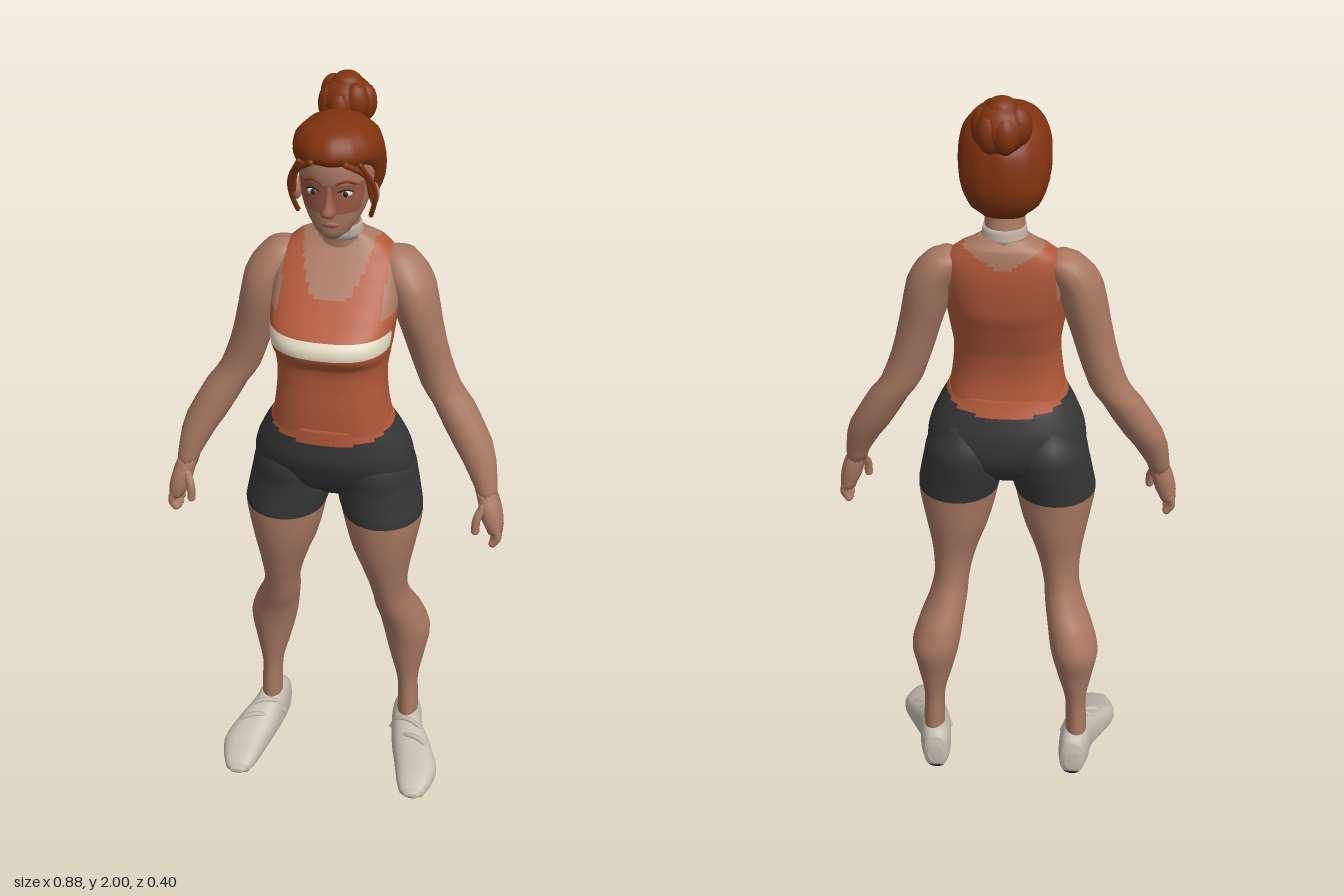
import * as THREE from 'three';

const mat = (name, color) => {
  const m = new THREE.MeshStandardMaterial({ color });
  m.name = name;
  return m;
};

// Smooth interpolation of cross-section rows
function refine(rows, steps) {
  const out = [];
  const at = i => rows[Math.max(0, Math.min(rows.length - 1, i))];
  for (let i = 0; i < rows.length - 1; i++) {
    for (let k = 0; k < steps; k++) {
      const t = k / steps;
      out.push(rows[i].map((b, c) => {
        const a = at(i - 1)[c], d = at(i + 1)[c], e = at(i + 2)[c];
        if (c === 0) return b + (d - b) * t;
        return b + 0.5 * t * (d - a + t * (2 * a - 5 * b + 4 * d - e + t * (3 * (b - d) + e - a)));
      }));
    }
  }
  out.push(rows[rows.length - 1]);
  return out;
}

// Closed skin over rows of [y, xMin, xMax, zBack, zFront].
// paint(x, y, z) picks the material slot of each face.
function loft(rows, { s = 1, n = 20, steps = 3, p = 1, paint = () => 0, flute = 0 } = {}) {
  const rings = refine([...rows].sort((a, b) => a[0] - b[0]), steps);
  const pos = [], slots = [];
  const bend = v => Math.sign(v) * Math.abs(v) ** p;
  for (const [y, x0, x1, z0, z1] of rings) {
    for (let j = 0; j < n; j++) {
      const t = (j / n) * Math.PI * 2, f = 1 + flute * Math.cos(t * 12);
      pos.push(s * (x0 + x1) / 2 + (x1 - x0) / 2 * f * bend(Math.cos(t)), y,
        (z0 + z1) / 2 + (z1 - z0) / 2 * f * bend(Math.sin(t)));
    }
  }
  const last = rings.length - 1, bottom = rings.length * n;
  for (const r of [rings[0], rings[last]]) pos.push(s * (r[1] + r[2]) / 2, r[0], (r[3] + r[4]) / 2);
  const face = (...ids) => {
    const mid = k => ids.reduce((sum, i) => sum + pos[i * 3 + k], 0) / ids.length;
    const list = (slots[paint(mid(0), mid(1), mid(2))] ??= []);
    list.push(ids[0], ids[1], ids[2]);
    if (ids.length === 4) list.push(ids[0], ids[2], ids[3]);
  };
  for (let j = 0; j < n; j++) {
    const k = (j + 1) % n;
    face(bottom, j, k);
    face(bottom + 1, last * n + k, last * n + j);
    for (let i = 0; i < last; i++) face(i * n + j, (i + 1) * n + j, (i + 1) * n + k, i * n + k);
  }
  const g = new THREE.BufferGeometry(), index = [];
  g.setAttribute('position', new THREE.Float32BufferAttribute(pos, 3));
  slots.forEach((list, m) => {
    g.addGroup(index.length, list.length, m);
    for (const i of list) index.push(i);
  });
  g.setIndex(index);
  g.computeVertexNormals();
  return g;
}

const sym = rows => rows.map(([y, w, z0, z1]) => [y, -w, w, z0, z1]);

export function createModel() {
  const root = new THREE.Group();
  root.name = 'athlete';
  const skin = mat('skin', 0xa97862), shirt = mat('rust shirt', 0xb2593a), stripe = mat('cream stripe', 0xeee5cd);
  const shorts = mat('charcoal shorts', 0x363637), hair = mat('auburn hair', 0x80330f), shoe = mat('shoe', 0xc4bcb0);
  const sole = mat('dark sole', 0x2a2828), blush = mat('blush', 0x985a46), white = mat('eye white', 0xd8cfc6);
  const collar = mat('pale collar', 0xbcaa9e);

  const add = (name, geo, m, parent = root) => {
    const mesh = new THREE.Mesh(geo, m);
    mesh.name = name;
    parent.add(mesh);
    return mesh;
  };
  const ball = (name, m, [x, y, z], [a, b, c]) => {
    const mesh = add(name, new THREE.SphereGeometry(1, 14, 10), m);
    mesh.position.set(x, y, z);
    mesh.scale.set(a, b, c);
    return mesh;
  };
  const tube = (name, m, pts, r, s = 1) => {
    const curve = new THREE.CatmullRomCurve3(pts.map(([x, y, z]) => new THREE.Vector3(x * s, y, z)));
    add(name, new THREE.TubeGeometry(curve, 10, r, 7), m);
    for (const [x, y, z] of [pts[0], pts[pts.length - 1]]) ball(name + 'End', m, [x * s, y, z], [r, r, r]);
  };

  // Torso with tank top: scooped front, V back, open armholes, chest stripe
  const tank = (x, y, z) => {
    const ax = Math.abs(x);
    if (ax > 0.125 && y > 1.49) return 0;
    if (z > -0.06 ? y > 1.525 + 0.1 * (ax / 0.085) ** 4 : y > 1.575 + 0.55 * ax) return 0;
    return y > 1.417 && y < 1.458 && z > 0.075 ? 2 : 1;
  };
  add('torso', loft(sym([
    [1.1, 0.15, -0.07, 0.14], [1.17, 0.15, -0.07, 0.153], [1.25, 0.138, -0.06, 0.156], [1.32, 0.133, -0.068, 0.154],
    [1.37, 0.139, -0.085, 0.158], [1.41, 0.146, -0.1, 0.185], [1.45, 0.15, -0.115, 0.178], [1.5, 0.153, -0.122, 0.12],
    [1.55, 0.15, -0.125, 0.06], [1.59, 0.14, -0.122, 0.015], [1.623, 0.105, -0.115, -0.015], [1.645, 0.06, -0.1, -0.02],
  ]), { n: 72, steps: 8, p: 0.78, paint: tank }), [skin, shirt, stripe]);

  // Shorts seat, with the shirt hem dipping at the waist
  add('shortsSeat', loft(sym([
    [1.2, 0.148, -0.07, 0.157], [1.15, 0.174, -0.088, 0.158], [1.1, 0.196, -0.102, 0.157],
    [1.05, 0.203, -0.102, 0.14], [1.0, 0.185, -0.085, 0.115], [0.955, 0.08, -0.05, 0.07],
  ]), { n: 48, steps: 6, p: 0.88, paint: (x, y) => (y > 1.155 + 1.2 * x * x ? 1 : 0) }), [shorts, shirt]);

  // Neck and collar band
  const neck = sym([[1.59, 0.075, -0.105, -0.01], [1.64, 0.051, -0.1, -0.006], [1.69, 0.047, -0.09, 0], [1.75, 0.047, -0.08, 0.01]]);
  add('neck', loft(neck, { steps: 4 }), skin);
  add('collarBand', loft(sym([[1.635, 0.056, -0.105, -0.003], [1.668, 0.051, -0.098, 0.001]])), collar);

  // Head
  const cheeks = (x, y, z) => (z > 0.045 && Math.abs(x) < 0.072 && y > 1.745 && y < 1.815 ? 1 : 0);
  add('head', loft(sym([
    [1.674, 0.02, 0.02, 0.068], [1.688, 0.04, -0.01, 0.08], [1.72, 0.063, -0.05, 0.085], [1.76, 0.079, -0.08, 0.088],
    [1.8, 0.086, -0.1, 0.09], [1.84, 0.088, -0.11, 0.095], [1.88, 0.083, -0.1, 0.085], [1.92, 0.05, -0.06, 0.05],
  ]), { n: 36, steps: 5, paint: cheeks }), [skin, blush]);
  add('nose', loft(sym([
    [1.738, 0.012, 0.07, 0.098], [1.752, 0.019, 0.07, 0.123], [1.77, 0.012, 0.07, 0.113],
    [1.8, 0.008, 0.07, 0.098], [1.825, 0.008, 0.07, 0.09],
  ]), { n: 12 }), blush);
  ball('lips', blush, [0, 1.717, 0.081], [0.022, 0.008, 0.009]);

  // Hair cap and top bun
  add('hair', loft(sym([
    [1.705, 0.05, -0.11, -0.05], [1.73, 0.08, -0.135, -0.02], [1.77, 0.097, -0.152, 0], [1.81, 0.104, -0.155, 0.03],
    [1.845, 0.106, -0.152, 0.07], [1.872, 0.103, -0.145, 0.103], [1.9, 0.093, -0.125, 0.098],
    [1.925, 0.069, -0.09, 0.073], [1.941, 0.032, -0.05, 0.025],
  ]), { n: 48, flute: 0.014 }), hair);
  ball('bun', hair, [0, 1.932, -0.13], [0.062, 0.06, 0.062]);
  ball('bunKnot', hair, [0, 1.972, -0.13], [0.036, 0.028, 0.038]);
  for (let i = 0; i < 7; i++) {
    const a = (i / 7) * Math.PI * 2;
    ball('bunTwist', hair, [Math.cos(a) * 0.04, 1.93 + 0.01 * Math.sin(i * 2), -0.13 + Math.sin(a) * 0.038], [0.03, 0.045, 0.03]);
  }

  for (const s of [1, -1]) {
    const side = s > 0 ? 'left' : 'right';
    // Face details and loose locks
    ball(side + 'Eye', white, [s * 0.037, 1.795, 0.077], [0.015, 0.008, 0.008]);
    ball(side + 'Iris', sole, [s * 0.037, 1.795, 0.083], [0.006, 0.007, 0.004]);
    tube(side + 'Lash', sole, [[0.021, 1.8, 0.086], [0.037, 1.805, 0.083], [0.053, 1.8, 0.073]], 0.002, s);
    tube(side + 'Brow', hair, [[0.018, 1.82, 0.091], [0.038, 1.826, 0.085], [0.058, 1.818, 0.072]], 0.003, s);
    ball(side + 'Ear', skin, [s * 0.09, 1.768, 0.01], [0.012, 0.028, 0.017]);
    tube(side + 'Lock', hair, [[0.07, 1.865, 0.08], [0.096, 1.81, 0.058], [0.097, 1.765, 0.04], [0.086, 1.722, 0.025]], 0.006, s);
    tube(side + 'ThinLock', hair, [[0.04, 1.87, 0.096], [0.08, 1.835, 0.066], [0.091, 1.78, 0.05]], 0.007, s);

    // Arm
    add(side + 'Arm', loft([
      [1.607, 0.12, 0.155, -0.075, -0.035], [1.592, 0.1, 0.185, -0.105, -0.01], [1.56, 0.1, 0.215, -0.115, 0.012],
      [1.52, 0.12, 0.235, -0.115, 0.028], [1.46, 0.135, 0.248, -0.11, 0.03], [1.4, 0.155, 0.26, -0.1, 0.02],
      [1.32, 0.18, 0.28, -0.093, 0.005], [1.25, 0.205, 0.307, -0.09, 0], [1.2, 0.238, 0.343, -0.088, 0.01],
      [1.1, 0.295, 0.398, -0.065, 0.03], [1.02, 0.345, 0.416, -0.03, 0.043], [0.965, 0.368, 0.42, -0.013, 0.05],
    ], { s, n: 16, steps: 2 }), skin);
    // Hand
    add(side + 'Palm', loft([
      [0.985, 0.364, 0.417, -0.012, 0.046], [0.95, 0.374, 0.43, -0.016, 0.063],
      [0.91, 0.385, 0.44, -0.013, 0.072], [0.878, 0.4, 0.442, -0.008, 0.07],
    ], { s, n: 14, p: 0.85 }), skin);
    for (let i = 0; i < 4; i++) {
      const z = 0.002 + i * 0.019, tip = [0.836, 0.829, 0.831, 0.84][i];
      tube(side + 'Finger', skin, [[0.422, 0.9, z], [0.431, 0.865, z + 0.003], [0.42, tip + 0.009, z + 0.004]], 0.0105, s);
    }
    tube(side + 'Thumb', skin, [[0.387, 0.95, 0.05], [0.375, 0.92, 0.066], [0.374, 0.888, 0.07]], 0.011, s);

    // Leg, with the shorts covering the upper thigh
    add(side + 'Leg', loft([
      [1.12, 0.03, 0.17, -0.08, 0.12], [1.05, 0.008, 0.203, -0.11, 0.135], [1.0, 0.004, 0.215, -0.106, 0.13],
      [0.95, 0.009, 0.225, -0.095, 0.132], [0.9, 0.022, 0.232, -0.085, 0.135], [0.8, 0.045, 0.217, -0.075, 0.125],
      [0.7, 0.08, 0.2, -0.06, 0.1], [0.62, 0.1, 0.196, -0.065, 0.075], [0.56, 0.106, 0.21, -0.09, 0.056],
      [0.5, 0.115, 0.235, -0.122, 0.032], [0.43, 0.125, 0.254, -0.139, 0.014], [0.35, 0.143, 0.243, -0.12, 0],
      [0.25, 0.168, 0.227, -0.1, -0.012], [0.16, 0.172, 0.23, -0.097, -0.01], [0.07, 0.172, 0.23, -0.097, -0.01],
    ], { s, n: 24, steps: 5, paint: (x, y) => (y > 0.9 ? 1 : 0) }), [skin, shorts]);

    // Shoe: lofted heel to toe as [z, xMin, xMax, -top, -bottom], then laid flat
    const foot = loft([
      [-0.125, 0.175, 0.215, -0.09, -0.03], [-0.116, 0.16, 0.228, -0.125, -0.008], [-0.08, 0.155, 0.24, -0.14, 0],
      [-0.02, 0.16, 0.252, -0.135, -0.004], [0.04, 0.172, 0.285, -0.11, -0.006], [0.1, 0.19, 0.31, -0.085, 0],
      [0.15, 0.203, 0.302, -0.066, -0.004], [0.185, 0.217, 0.287, -0.05, -0.01], [0.2, 0.235, 0.27, -0.035, -0.02],
    ], { s, n: 32, steps: 4, p: 0.78, paint: (x, y, z) => (z > -0.02 ? 1 : 0) });
    add(side + 'Shoe', foot.rotateX(Math.PI / 2), [shoe, sole]);
    for (const [z, y] of [[0.0, 0.129], [0.045, 0.109]]) {
      const x = 0.212 + z * 0.5;
      tube(side + 'ShoeStrap', shoe, [[x - 0.05, y - 0.05, z - 0.015], [x - 0.025, y - 0.004, z - 0.005],
        [x + 0.025, y - 0.006, z + 0.01], [x + 0.054, y - 0.055, z + 0.02]], 0.007, s);
    }
  }
  return root;
}
